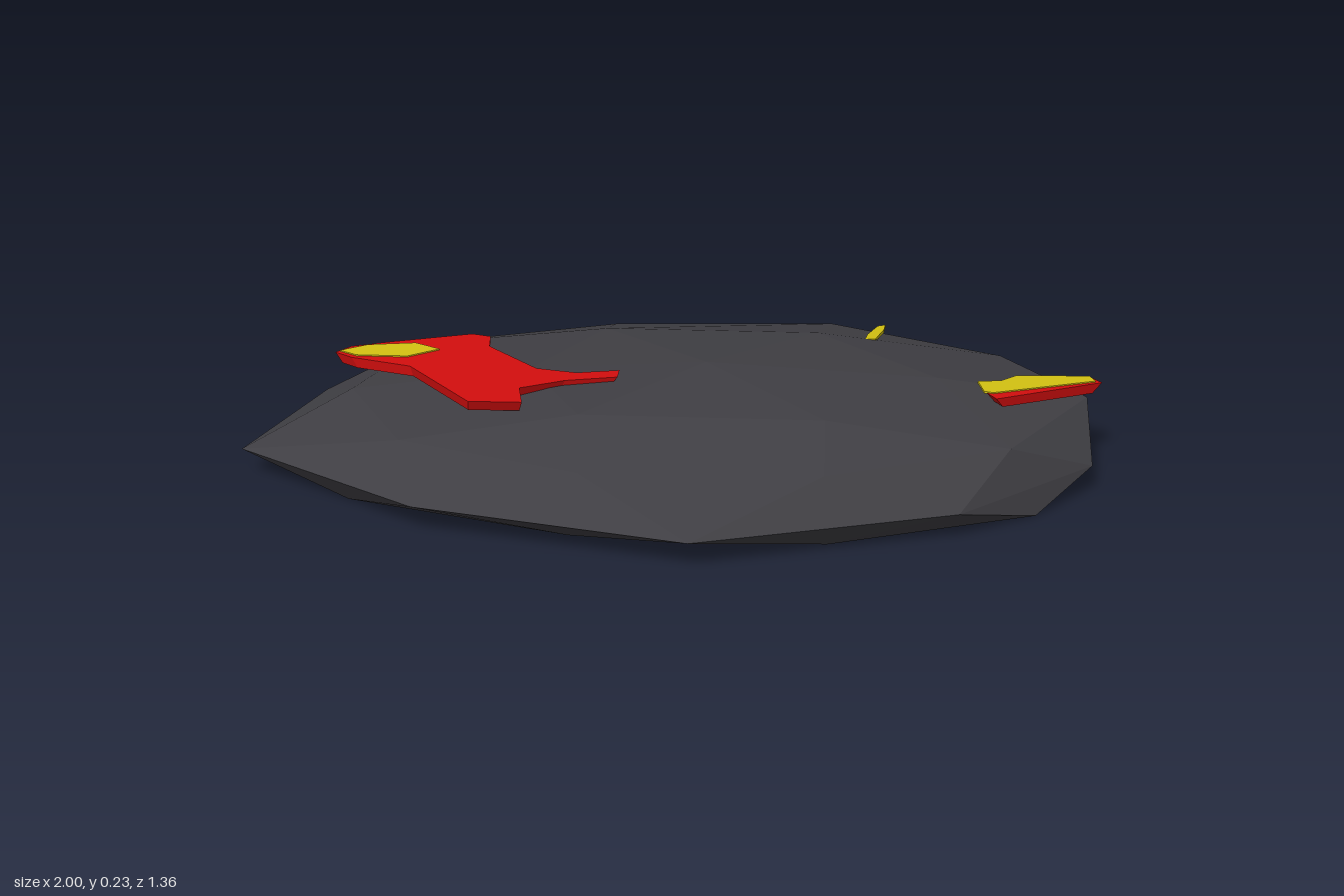
import * as THREE from 'three';
import { ConvexGeometry } from 'three/addons/geometries/ConvexGeometry.js';

const rockMat = new THREE.MeshStandardMaterial({ name: 'darkRock', color: 0x3f3e43 });
const redMat = new THREE.MeshStandardMaterial({ name: 'red', color: 0xd30e0e });
const yellowMat = new THREE.MeshStandardMaterial({ name: 'yellow', color: 0xd4c212 });

// Horizontal rings of the faceted slab: height, then [x, z] corners
const rings = [
  [0, [[0.82, 0.33], [0.95, 0], [0.83, -0.39], [0.37, -0.58], [-0.2, -0.6], [-0.7, -0.38],
    [-0.88, 0], [-0.72, 0.34], [-0.2, 0.51], [0.36, 0.52]]],
  [0.06, [[0.07, -0.68], [0.67, -0.56], [0.99, -0.21], [0.96, 0.17], [0.64, 0.48], [0.07, 0.675],
    [-0.54, 0.52], [-1, 0.2], [-0.9, -0.23], [-0.52, -0.55]]],
  [0.145, [[0.76, 0.3], [0.97, -0.06], [0.79, -0.36], [0.37, -0.6], [-0.2, -0.56], [-0.68, -0.36],
    [-0.78, 0], [-0.6, 0.34], [-0.18, 0.51], [0.35, 0.49]]],
  [0.205, [[0.61, 0], [0.35, 0.31], [-0.2, 0.31], [-0.35, 0], [-0.2, -0.33], [0.33, -0.33]]],
  [0.232, [[0.07, 0]]],
];

// Chunk with a sloping top; the underside is pulled in towards its centre
function chunk(name, mat, outline, topAt, thickness, taper = 1) {
  const shape = new THREE.Shape(outline.map(([x, z]) => new THREE.Vector2(x, -z)));
  const geo = new THREE.ExtrudeGeometry(shape, { depth: 1, bevelEnabled: false });
  geo.rotateX(-Math.PI / 2);
  geo.computeBoundingBox();
  const c = geo.boundingBox.getCenter(new THREE.Vector3());
  const p = geo.attributes.position;
  for (let i = 0; i < p.count; i++) {
    const x = p.getX(i), z = p.getZ(i), low = p.getY(i) < 0.5;
    const s = low ? taper : 1;
    p.setXYZ(i, c.x + (x - c.x) * s, topAt(x, z) - (low ? thickness : 0), c.z + (z - c.z) * s);
  }
  geo.computeVertexNormals();
  const mesh = new THREE.Mesh(geo, mat);
  mesh.name = name;
  return mesh;
}

export function createModel() {
  const model = new THREE.Group();
  model.name = 'flatRock';

  const points = rings.flatMap(([y, ring]) => ring.map(([x, z]) => new THREE.Vector3(x, y, z)));
  const rock = new THREE.Mesh(new ConvexGeometry(points), rockMat);
  rock.name = 'rockSlab';
  model.add(rock);

  // Large branching patch on the right side
  const patchTop = (x) => 0.233 + 0.05 * x;
  model.add(chunk('largeRedPatch', redMat, [
    [-0.85, -0.135], [-0.82, -0.18], [-0.72, -0.21], [-0.53, -0.255], [-0.48, -0.23], [-0.47, -0.15],
    [-0.33, 0.03], [-0.23, 0.07], [-0.13, 0.06], [-0.13, 0.11], [-0.25, 0.125], [-0.35, 0.17],
    [-0.33, 0.27], [-0.455, 0.255], [-0.64, -0.01], [-0.8, -0.09],
  ], patchTop, 0.025, 0.95));
  model.add(chunk('largePatchYellowTop', yellowMat, [
    [-0.84, -0.14], [-0.78, -0.18], [-0.66, -0.185], [-0.59, -0.13], [-0.66, -0.08], [-0.79, -0.1],
  ], (x) => patchTop(x) + 0.003, 0.005));

  // Pointed chunk overhanging the left edge
  const edgeTop = (x) => 0.229 - 0.042 * x;
  model.add(chunk('edgeRedChunk', redMat, [
    [0.705, 0.01], [0.76, -0.005], [0.8, -0.05], [0.975, -0.083], [1, -0.045], [0.74, 0.12], [0.72, 0.08],
  ], edgeTop, 0.024, 0.85));
  model.add(chunk('edgeYellowTop', yellowMat, [
    [0.705, 0.01], [0.76, -0.005], [0.8, -0.05], [0.975, -0.08], [0.985, -0.045], [0.735, 0.085], [0.715, 0.08],
  ], (x) => edgeTop(x) + 0.003, 0.005));

  // Small sliver near the back
  model.add(chunk('yellowSliver', yellowMat, [
    [0.485, -0.48], [0.505, -0.495], [0.5, -0.44], [0.475, -0.335], [0.45, -0.335], [0.457, -0.385],
  ], (x, z) => 0.215 + 0.075 * z, 0.008));

  return model;
}
